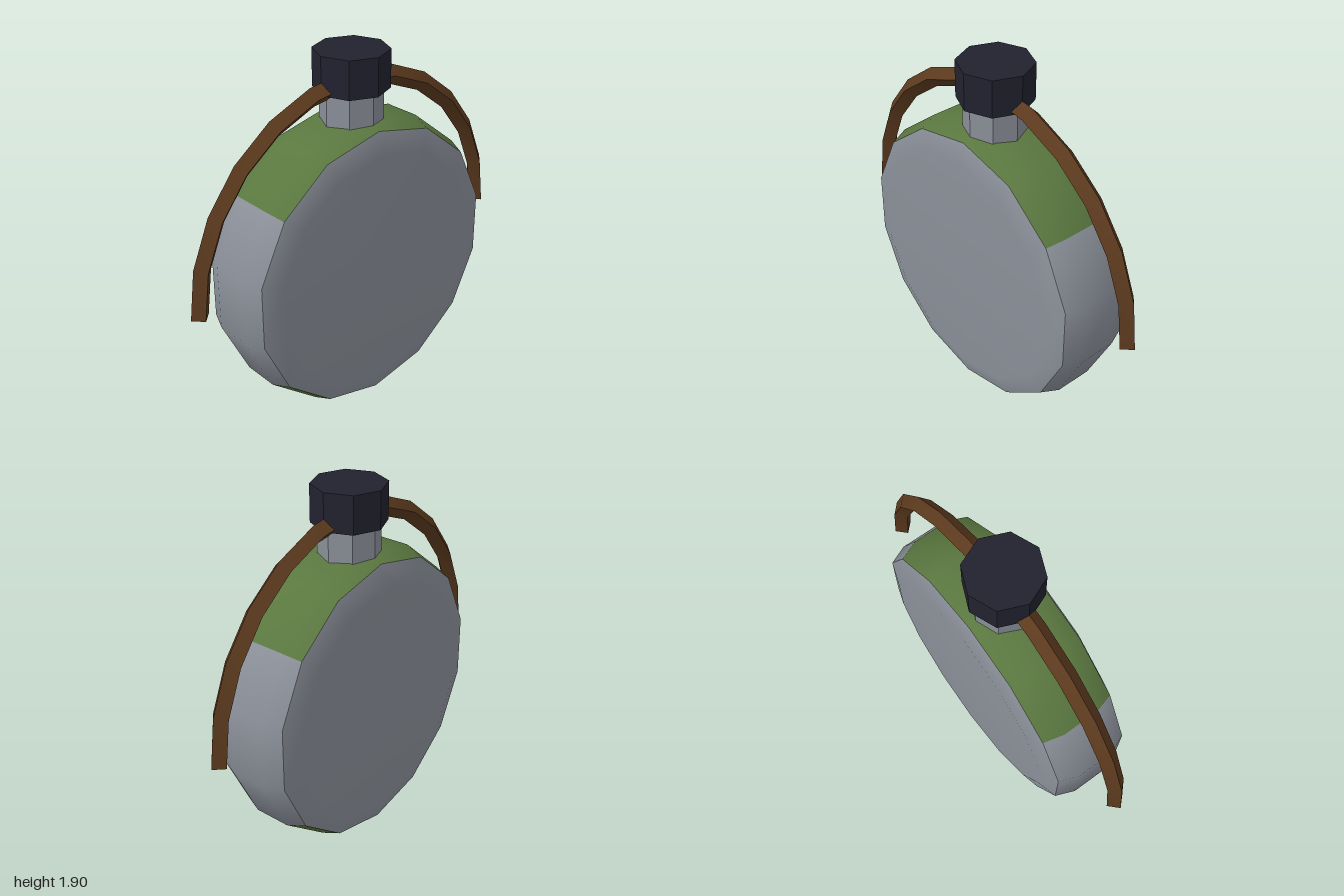
import * as THREE from 'three';
import { toCreasedNormals } from 'three/addons/utils/BufferGeometryUtils.js';

const SIDES = 14, STEP = Math.PI * 2 / SIDES, CENTRE_Y = 0.79;

function material(name, color) {
  const m = new THREE.MeshStandardMaterial({ color });
  m.name = name;
  return m;
}

export function createModel() {
  const model = new THREE.Group();
  model.name = 'canteen';
  const metal = material('grey metal', 0x8a8f98);
  const green = material('green cloth', 0x5b7840);
  const leather = material('brown leather', 0x5c3a1e);
  const dark = material('dark cap', 0x222230);

  function add(name, geometry, mat, y) {
    const mesh = new THREE.Mesh(geometry, mat);
    mesh.name = name;
    mesh.position.y = y;
    model.add(mesh);
    return mesh;
  }

  // Turned piece around the z axis; sector 0 starts at the bottom of the body
  function turned(profile, start, count) {
    const points = profile.map(([r, z]) => new THREE.Vector2(r, z));
    return new THREE.LatheGeometry(points, count, start * STEP, count * STEP).rotateX(Math.PI / 2);
  }

  // Rim: green at top and bottom, bare metal at the sides
  const rim = [[0.75, -0.2], [0.79, -0.1], [0.79, 0.1], [0.75, 0.2]];
  add('bottomBand', turned(rim, -2, 4), green, CENTRE_Y);
  add('leftRim', turned(rim, 2, 3), metal, CENTRE_Y);
  add('topBand', turned(rim, 5, 4), green, CENTRE_Y);
  add('rightRim', turned(rim, 9, 3), metal, CENTRE_Y);

  // Slightly domed faces
  add('frontFace', turned([[0.75, 0.2], [0.64, 0.235], [0, 0.235]], 0, SIDES), metal, CENTRE_Y);
  add('backFace', turned([[0, -0.235], [0.64, -0.235], [0.75, -0.2]], 0, SIDES), metal, CENTRE_Y);

  // Octagonal neck and cap
  const prism = (r, h) => toCreasedNormals(new THREE.CylinderGeometry(r, r, h, 8), 0.5);
  add('neck', prism(0.158, 0.24), metal, 1.61);
  add('cap', prism(0.19, 0.195), dark, 1.8075);

  // Strap: half ring with a diamond section, closed at both ends
  add('strap', toCreasedNormals(new THREE.TorusGeometry(0.95, 0.05, 4, 12, Math.PI), 0.5), leather, 0.8);
  for (const side of [1, -1]) {
    const end = add(side > 0 ? 'leftStrapEnd' : 'rightStrapEnd',
      new THREE.CircleGeometry(0.05, 4).rotateX(Math.PI / 2), leather, 0.8);
    end.position.x = side * 0.95;
  }
  return model;
}
